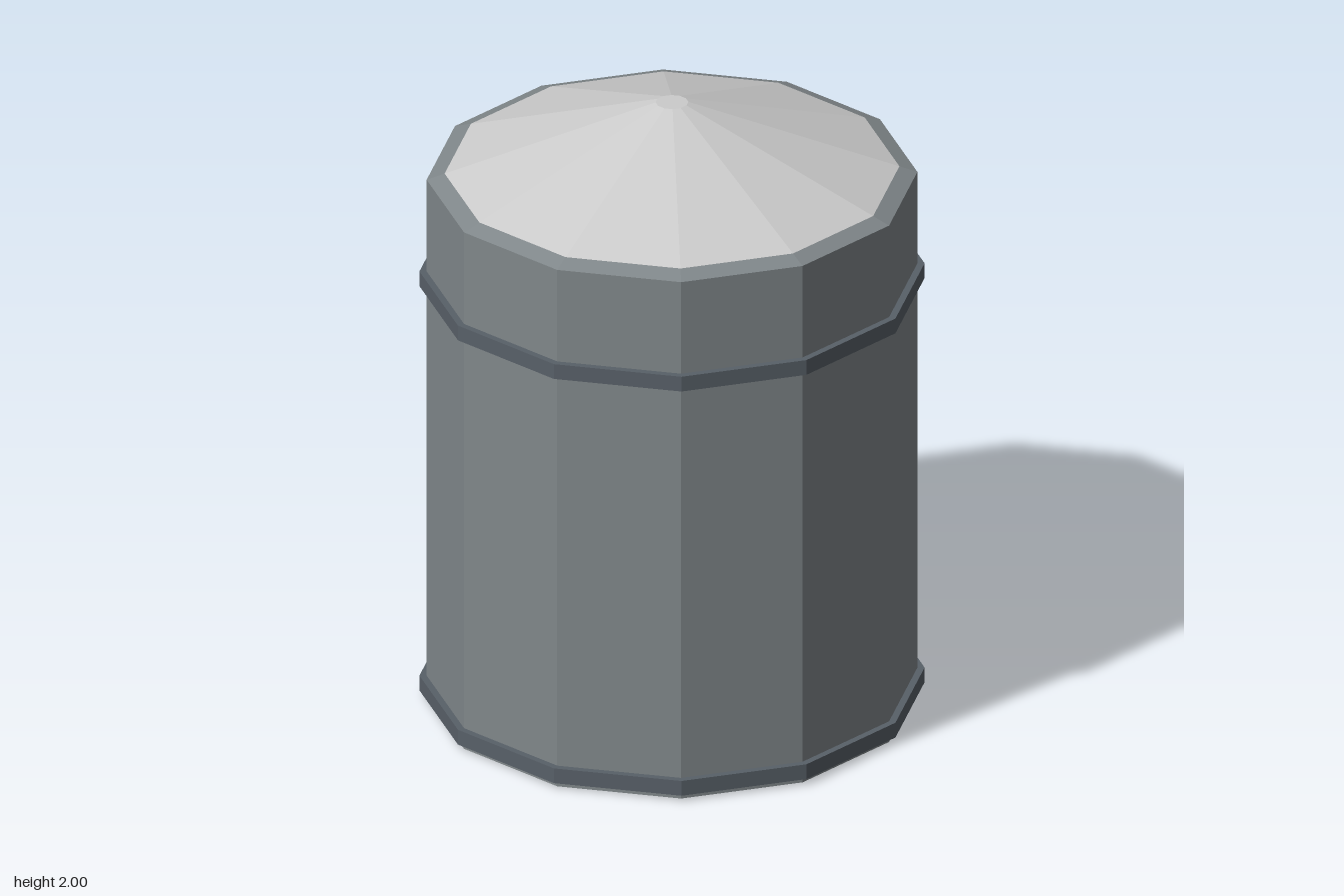
import * as THREE from 'three';

const SIDES = 12;

// Faceted solid of revolution; profile runs bottom to top as [radius, y]
function turned(name, profile, color) {
  const points = profile.map(([r, y]) => new THREE.Vector2(r, y));
  const mesh = new THREE.Mesh(
    new THREE.LatheGeometry(points, SIDES),
    new THREE.MeshStandardMaterial({ color, flatShading: true })
  );
  mesh.name = name;
  return mesh;
}

export function createModel() {
  const group = new THREE.Group();
  group.name = 'tank';

  // Closed base, straight wall and bevelled rim
  group.add(turned('body', [[0, 0], [0.75, 0], [0.75, 1.75], [0.695, 1.77]], 0x80878a));

  // Shallow conical roof with a small flat tip
  group.add(turned('roof', [[0.695, 1.77], [0.05, 2], [0, 2]], 0xcccccc));

  // Bands around the foot and the upper wall
  for (const [name, y] of [['lowerBand', 0.02], ['upperBand', 1.39]]) {
    group.add(turned(name, [[0.75, y], [0.772, y], [0.772, y + 0.05], [0.75, y + 0.05]], 0x586068));
  }
  return group;
}
